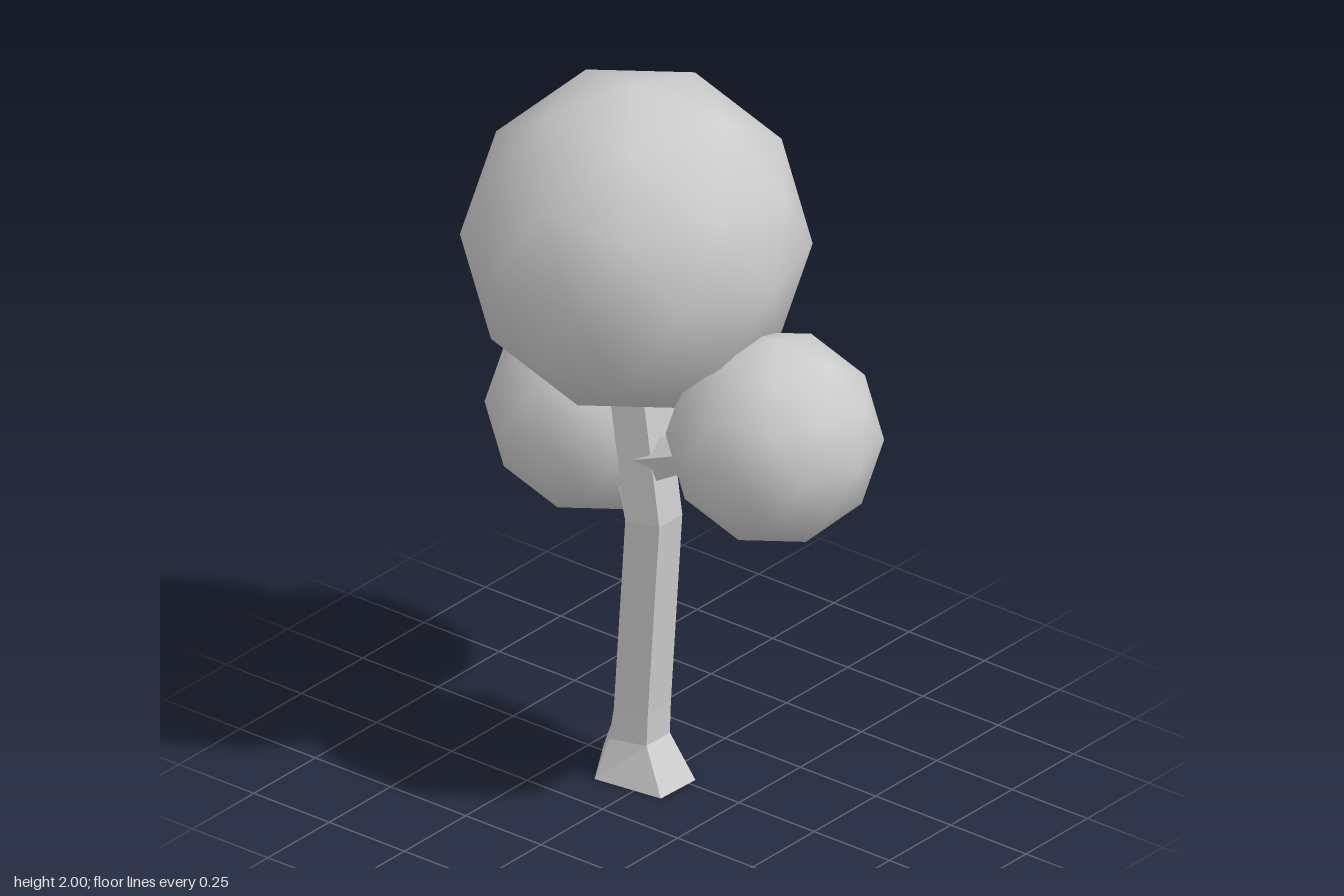
import * as THREE from 'three';

const bark = new THREE.MeshStandardMaterial({ color: 0xcccccc, flatShading: true, side: THREE.DoubleSide });
const foliage = new THREE.MeshStandardMaterial({ color: 0xcccccc });

// Skin a stack of rings, each a list of Vector3 running counterclockwise about the growth direction
function loft(name, rings) {
  const n = rings[0].length;
  const index = [];
  for (let i = 0; i < rings.length - 1; i++) {
    for (let j = 0; j < n; j++) {
      const k = (j + 1) % n;
      const a = i * n + j, b = i * n + k, c = a + n, d = b + n;
      index.push(a, b, d, a, d, c);
    }
  }
  const geometry = new THREE.BufferGeometry().setFromPoints(rings.flat());
  geometry.setIndex(index);
  geometry.computeVertexNormals();
  const mesh = new THREE.Mesh(geometry, bark);
  mesh.name = name;
  return mesh;
}

// Regular pentagon, flat side to the front, in the plane across direction dir
function pentagon(center, radius, dir) {
  const v = new THREE.Vector3(1, 0, 0).addScaledVector(dir, -dir.x).normalize();
  const u = v.clone().cross(dir).normalize();
  return Array.from({ length: 5 }, (_, j) => {
    const a = (-36 + 72 * j) * Math.PI / 180;
    return center.clone().addScaledVector(u, radius * Math.cos(a)).addScaledVector(v, radius * Math.sin(a));
  });
}

const UP = new THREE.Vector3(0, 1, 0);
const level = (x, y, z, r) => pentagon(new THREE.Vector3(x, y, z), r, UP);
const ringAt = (y, pairs) => pairs.map(([x, z]) => new THREE.Vector3(x, y, z));

// Tapering branch through a few [x, y, z, radius] stations
function branch(name, stations) {
  const points = stations.map(([x, y, z]) => new THREE.Vector3(x, y, z));
  const dir = points[points.length - 1].clone().sub(points[0]).normalize();
  return loft(name, points.map((p, i) => pentagon(p, stations[i][3], dir)));
}

// Faceted ball with a corner at the very top and smooth shading
function crown(name, x, y, z, radius) {
  const geometry = new THREE.IcosahedronGeometry(radius, 1);
  geometry.rotateZ(-Math.atan(2 / (1 + Math.sqrt(5))));
  const mesh = new THREE.Mesh(geometry, foliage);
  mesh.name = name;
  mesh.position.set(x, y, z);
  return mesh;
}

export function createModel() {
  const tree = new THREE.Group();
  tree.name = 'tree';

  // Trunk: uneven flared foot, then a bent pentagonal stem
  tree.add(loft('trunk', [
    ringAt(0, [[-0.11, 0.08], [0.025, 0.085], [0.09, -0.13], [0.025, -0.22], [-0.135, -0.12]]),
    ringAt(0.11, [[-0.07, 0], [0.025, 0], [0.07, -0.113], [-0.01, -0.16], [-0.1, -0.1]]),
    level(-0.02, 0.2, -0.063, 0.08),
    level(-0.02, 0.76, -0.025, 0.08),
    level(-0.02, 1.1, -0.075, 0.08),
    level(-0.02, 1.3, -0.09, 0.07),
  ]));

  // Branches reaching into the smaller crowns
  tree.add(branch('frontBranch', [
    [-0.02, 0.91, -0.05, 0.07], [-0.02, 0.985, 0.13, 0.042], [-0.02, 1.05, 0.28, 0.035],
  ]));
  tree.add(branch('backBranch', [
    [0.01, 0.7, -0.05, 0.065], [0.07, 0.745, -0.15, 0.042], [0.14, 0.82, -0.29, 0.035],
  ]));

  // Foliage
  tree.add(crown('topCrown', -0.02, 1.545, -0.075, 0.455));
  tree.add(crown('frontCrown', -0.017, 1.12, 0.383, 0.282));
  tree.add(crown('backCrown', 0.185, 0.873, -0.383, 0.282));

  return tree;
}
